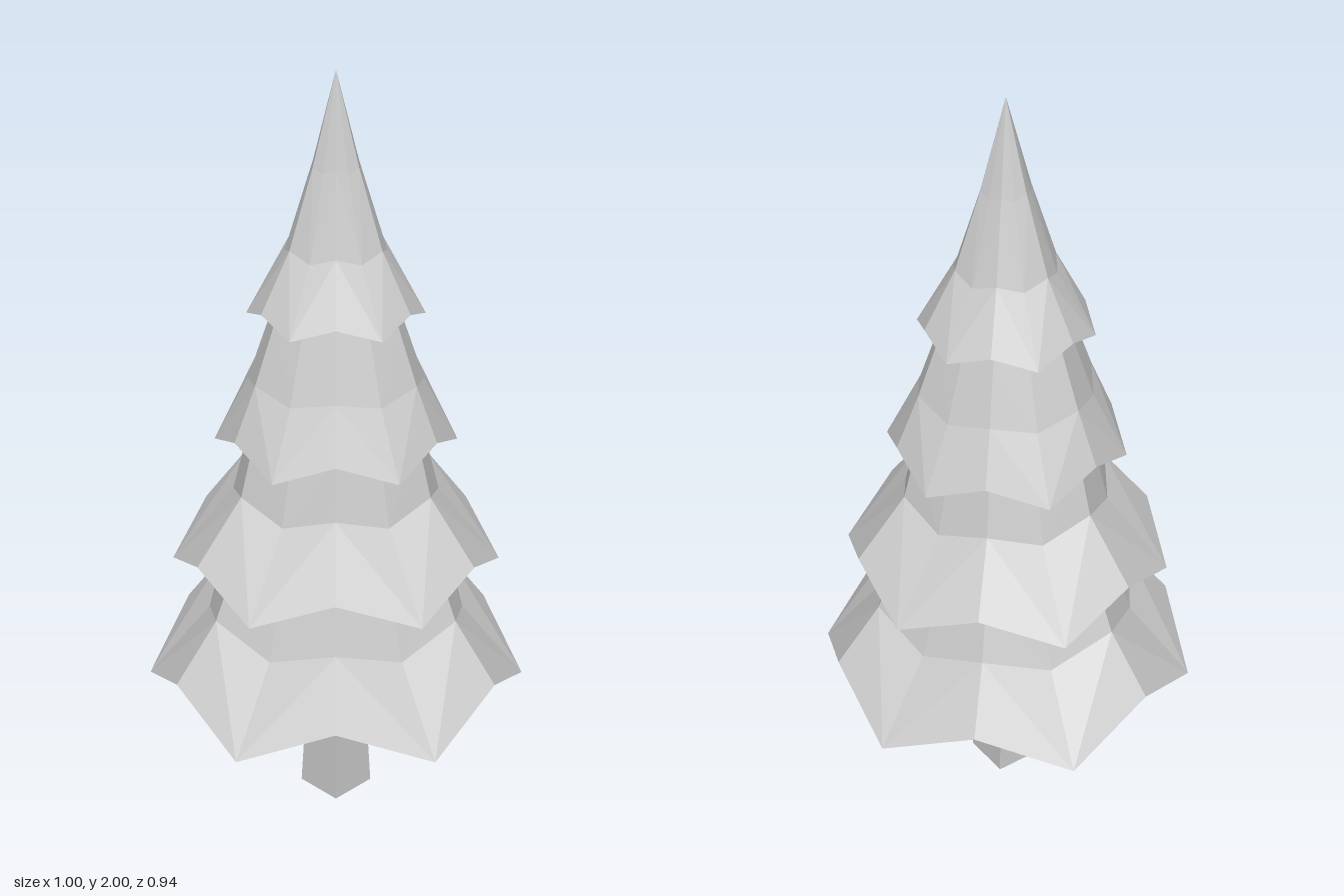
import * as THREE from 'three';

const SIDES = 12;

// Each tier: rings from rim to top as [edgeR, edgeY, midR, midY].
// Edges are the six creases; mids are the drooping middles of the six faces.
const TIERS = [
  { name: 'bottomFoliage', hollow: 0.64, rings: [[0.472, 0.45, 0.5, 0.345], [0.355, 0.605, 0.335, 0.55], [0.29, 0.77, 0.27, 0.74], [0.26, 0.85, 0.24, 0.83]] },
  { name: 'lowerFoliage', hollow: 0.94, rings: [[0.403, 0.775, 0.427, 0.695], [0.275, 0.94, 0.265, 0.9], [0.235, 1.095, 0.22, 1.075], [0.215, 1.165, 0.2, 1.15]] },
  { name: 'upperFoliage', hollow: 1.22, rings: [[0.29, 1.095, 0.31, 1.04], [0.23, 1.235, 0.222, 1.21], [0.17, 1.4, 0.162, 1.385], [0.15, 1.47, 0.143, 1.46]] },
  { name: 'topFoliage', hollow: 1.515, rings: [[0.21, 1.42, 0.223, 1.385], [0.13, 1.57, 0.126, 1.55], [0.064, 1.77, 0.06, 1.76], [0, 2, 0, 2]] },
];

function ringPoints([edgeR, edgeY, midR, midY]) {
  return Array.from({ length: SIDES }, (_, i) => {
    const a = (i / SIDES) * Math.PI * 2;
    const r = i % 2 ? edgeR : midR;
    return new THREE.Vector3(r * Math.cos(a), i % 2 ? edgeY : midY, r * Math.sin(a));
  });
}

function tierGeometry({ hollow, rings }) {
  const points = [];
  const loops = rings.map(ringPoints);
  const centre = new THREE.Vector3(0, hollow, 0);
  for (let i = 0; i < SIDES; i++) {
    const n = (i + 1) % SIDES;
    // folded underside rising to the trunk
    points.push(centre, loops[0][i], loops[0][n]);
    // outer skin, diagonals mirrored about each face middle
    for (let k = 0; k < loops.length - 1; k++) {
      const low = loops[k], up = loops[k + 1];
      if (i % 2) points.push(low[i], up[i], low[n], up[i], up[n], low[n]);
      else points.push(low[i], up[i], up[n], low[i], up[n], low[n]);
    }
  }
  const geometry = new THREE.BufferGeometry().setFromPoints(points);
  geometry.computeVertexNormals();
  return geometry;
}

export function createModel() {
  const group = new THREE.Group();
  group.name = 'coniferTree';
  const material = new THREE.MeshStandardMaterial({ color: 0xcccccc, flatShading: true });

  // tapered square trunk, corners on the axes
  const height = 0.66;
  const trunk = new THREE.Mesh(new THREE.CylinderGeometry(0.056, 0.095, height, 4), material);
  trunk.position.y = height / 2;
  trunk.name = 'trunk';
  group.add(trunk);

  // stacked skirts of foliage
  for (const tier of TIERS) {
    const mesh = new THREE.Mesh(tierGeometry(tier), material);
    mesh.name = tier.name;
    group.add(mesh);
  }
  return group;
}
